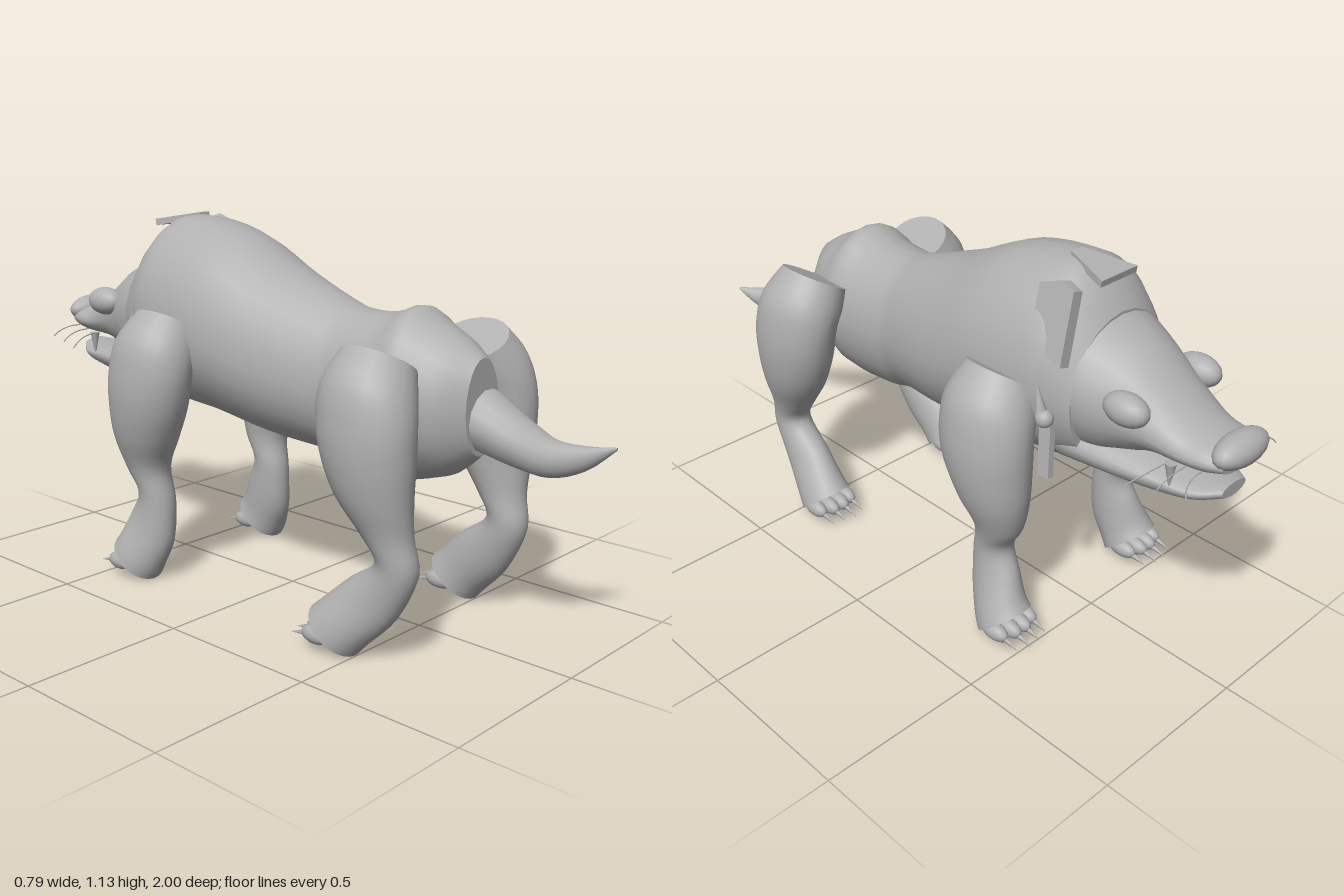
import * as THREE from 'three';

const hide = new THREE.MeshStandardMaterial({ color: 0xb0b0b0, side: THREE.DoubleSide });
hide.name = 'grey hide';

function part(parent, name, geo, pos = [0, 0, 0], scale = [1, 1, 1], rot = [0, 0, 0]) {
  const m = new THREE.Mesh(geo, hide);
  m.name = name;
  m.position.set(...pos);
  m.scale.set(...scale);
  m.rotation.set(...rot);
  parent.add(m);
  return m;
}

// Skin a series of rings; each key is smoothly interpolated and mapped to a ring point
function loft(keys, map, sides = 24, sub = 4) {
  const pos = [], idx = [], rings = [];
  const cr = (a, b, c, d, t) => 0.5 * (2 * b + (c - a) * t
    + (2 * a - 5 * b + 4 * c - d) * t * t + (3 * b - a - 3 * c + d) * t * t * t);
  const at = (i) => keys[Math.min(keys.length - 1, Math.max(0, i))];
  for (let i = 0; i < keys.length - 1; i++) {
    for (let s = 0; s < sub; s++) {
      rings.push(at(i).map((v, c) => cr(at(i - 1)[c], v, at(i + 1)[c], at(i + 2)[c], s / sub)));
    }
  }
  rings.push(at(keys.length - 1));
  const addRing = (k) => {
    const start = pos.length / 3;
    for (let j = 0; j < sides; j++) pos.push(...map(k, (j / sides) * Math.PI * 2));
    return start;
  };
  rings.forEach(addRing);
  for (let i = 0; i < rings.length - 1; i++) {
    for (let j = 0; j < sides; j++) {
      const a = i * sides + j, b = i * sides + (j + 1) % sides;
      idx.push(a, b, a + sides, b, b + sides, a + sides);
    }
  }
  // flat end caps with their own vertices
  [rings[0], rings[rings.length - 1]].forEach((k, end) => {
    const s = addRing(k), c = pos.length / 3, mid = [0, 0, 0];
    for (let j = 0; j < sides; j++) for (let n = 0; n < 3; n++) mid[n] += pos[(s + j) * 3 + n] / sides;
    pos.push(...mid);
    for (let j = 0; j < sides; j++) {
      const a = s + j, b = s + (j + 1) % sides;
      idx.push(...(end ? [a, b, c] : [b, a, c]));
    }
  });
  // turn the faces outward if the enclosed volume is negative
  let vol = 0;
  const v = (i) => new THREE.Vector3().fromArray(pos, i * 3);
  for (let i = 0; i < idx.length; i += 3) vol += v(idx[i]).dot(v(idx[i + 1]).cross(v(idx[i + 2])));
  if (vol < 0) idx.reverse();
  const g = new THREE.BufferGeometry();
  g.setAttribute('position', new THREE.Float32BufferAttribute(pos, 3));
  g.setIndex(idx);
  g.computeVertexNormals();
  return g;
}

// Trunk rings: [z, half width, top, middle, bottom]
const trunk = ([z, w, top, mid, bot], a) => {
  const s = Math.sin(a);
  return [w * Math.cos(a), mid + s * (s > 0 ? top - mid : mid - bot), z];
};
// Leg rings: [y, x, radius x, z, radius z, slope x, slope z]
const limb = ([y, x, rx, z, rz, sx, sz], a) => {
  const dx = rx * Math.cos(a), dz = rz * Math.sin(a);
  return [x + dx, y + sx * dx + sz * dz, z + dz];
};
// Tail rings: [x, y, z, radius]
const whip = ([x, y, z, r], a) => [x + r * Math.cos(a), y + r * Math.sin(a), z];

const hindLeg = [
  [0.83, 0.21, 0.085, 0.505, 0.11, 0.58, 0], [0.76, 0.258, 0.112, 0.512, 0.138, 0.3, 0],
  [0.68, 0.28, 0.112, 0.522, 0.147, 0, 0], [0.58, 0.283, 0.106, 0.533, 0.138, 0, 0],
  [0.48, 0.278, 0.09, 0.552, 0.113, 0, 0], [0.38, 0.265, 0.065, 0.588, 0.075, 0, 0],
  [0.29, 0.257, 0.055, 0.615, 0.062, 0, -0.25], [0.19, 0.262, 0.06, 0.54, 0.075, 0, -0.6],
  [0.11, 0.277, 0.073, 0.46, 0.072, 0, -0.75], [0.075, 0.28, 0.081, 0.425, 0.072, 0, -0.8],
];
const foreZ = [-0.32, -0.325, -0.33, -0.34, -0.358, -0.368, -0.34, -0.355, -0.388, -0.41];
const foreLeg = hindLeg.map((k, i) => k.map((n, c) => (c === 3 ? foreZ[i] : n)));

function buildLeg(name, keys, side) {
  const leg = new THREE.Group();
  leg.name = name;
  part(leg, 'limb', loft(keys.map((k) => k.map((n, c) => (c === 1 || c === 5 ? n * side : n))), limb));
  const footZ = keys[keys.length - 1][3];
  const ball = new THREE.SphereGeometry(1, 14, 10);
  const spike = new THREE.ConeGeometry(0.011, 0.07, 8);
  for (let i = 0; i < 4; i++) {
    const x = side * (0.222 + i * 0.039), reach = i === 0 || i === 3 ? 0.015 : 0;
    part(leg, 'toe', ball, [x, 0.07, footZ - 0.035 + reach], [0.024, 0.027, 0.05]);
    part(leg, 'claw', spike, [x, 0.06, footZ - 0.095 + reach], [1, 1, 1], [-Math.PI / 2 - 0.25, 0, 0]);
  }
  part(leg, 'pad', ball, [side * 0.28, 0.06, footZ], [0.05, 0.025, 0.035], [0.65, 0, 0]);
  return leg;
}

function plate(points, depth) {
  const s = new THREE.Shape(points.map((p) => new THREE.Vector2(...p)));
  return new THREE.ExtrudeGeometry(s, { depth, bevelEnabled: false });
}

export function createModel() {
  const g = new THREE.Group();
  g.name = 'beast';

  part(g, 'body', loft([
    [0.69, 0.075, 0.83, 0.69, 0.56], [0.62, 0.14, 0.875, 0.69, 0.5], [0.54, 0.17, 0.915, 0.7, 0.47],
    [0.48, 0.185, 0.948, 0.7, 0.455], [0.4, 0.18, 0.922, 0.69, 0.45], [0.28, 0.172, 0.918, 0.69, 0.46],
    [0.2, 0.18, 0.94, 0.7, 0.485], [0, 0.225, 1.015, 0.74, 0.5], [-0.2, 0.25, 1.11, 0.8, 0.53],
    [-0.4, 0.245, 1.142, 0.83, 0.545], [-0.48, 0.225, 1.11, 0.83, 0.555], [-0.55, 0.195, 1.02, 0.8, 0.58],
  ], trunk));

  // Head with open mouth
  const head = new THREE.Group();
  head.name = 'head';
  g.add(head);
  part(head, 'skull', loft([
    [-0.45, 0.2, 1.07, 0.85, 0.6], [-0.57, 0.19, 1.0, 0.82, 0.62], [-0.66, 0.16, 0.955, 0.8, 0.66],
    [-0.75, 0.135, 0.885, 0.78, 0.7], [-0.84, 0.118, 0.822, 0.76, 0.71], [-0.91, 0.107, 0.805, 0.76, 0.715],
    [-0.96, 0.085, 0.79, 0.76, 0.73],
  ], trunk));
  part(head, 'lower jaw', loft([
    [-0.48, 0.17, 0.74, 0.66, 0.565], [-0.65, 0.145, 0.71, 0.65, 0.583], [-0.78, 0.12, 0.685, 0.65, 0.592],
    [-0.88, 0.095, 0.675, 0.65, 0.615], [-0.945, 0.05, 0.68, 0.663, 0.64],
  ], trunk));
  const ball = new THREE.SphereGeometry(1, 20, 14);
  part(head, 'nose', ball, [0, 0.785, -0.95], [0.1, 0.046, 0.05]);

  // Upright ear on one side, loose ear flap lying on the crown
  part(g, 'ear', plate([[0.4, 1.1], [0.47, 1.125], [0.515, 1.11], [0.53, 0.91], [0.49, 0.92], [0.41, 0.97]], 0.035),
    [0.15, 0, 0], [1, 1, 1], [0, Math.PI / 2, 0]).geometry.translate(0, -1.0, 0);
  const ear = g.getObjectByName('ear');
  ear.position.set(0.155, 1.0, 0);
  ear.rotation.set(0, Math.PI / 2, 0);
  ear.geometry.applyMatrix4(new THREE.Matrix4().makeRotationX(-0.3));
  part(g, 'ear flap', plate([[-0.07, 0.53], [0.07, 0.53], [0.03, 0.385], [-0.01, 0.385]], 0.02),
    [0, 1.14, 0], [1, 1, 1], [-Math.PI / 2, 0, 0]).geometry.translate(0, -0.46, 0);
  const flap = g.getObjectByName('ear flap');
  flap.position.set(0, 1.115, -0.46);
  flap.rotation.x = -Math.PI / 2 - 0.18;

  for (const side of [1, -1]) {
    part(head, 'eye', ball, [side * 0.148, 0.85, -0.7], [0.045, 0.045, 0.07]);
    part(head, 'fang', new THREE.ConeGeometry(0.016, 0.08, 10), [side * 0.105, 0.685, -0.82], [1, 1, 1], [Math.PI, 0, 0]);
    for (let i = 0; i < 3; i++) {
      const z = -0.91 + i * 0.05, y = 0.74 - i * 0.008;
      const curve = new THREE.QuadraticBezierCurve3(
        new THREE.Vector3(side * 0.1, y, z), new THREE.Vector3(side * 0.17, y + 0.005, z),
        new THREE.Vector3(side * (0.19 + i * 0.02), y - 0.03, z - 0.025 + i * 0.03));
      part(head, 'whisker', new THREE.TubeGeometry(curve, 8, 0.002, 5));
    }
    // Cheek tusk, its knob and the hanging strip below
    part(g, 'cheek tusk', new THREE.ConeGeometry(0.02, 0.1, 10), [side * 0.228, 0.815, -0.475], [1, 1, 1], [0.2, 0, 0]);
    part(g, 'cheek knob', ball, [side * 0.228, 0.765, -0.495], [0.025, 0.025, 0.025]);
    part(g, 'cheek strip', new THREE.BoxGeometry(0.02, 0.18, 0.04), [side * 0.212, 0.675, -0.49],
      [1, 1, 1], [0.12, 0, side * 0.15]);
    const label = side > 0 ? 'left' : 'right';
    g.add(buildLeg(label + ' hind leg', hindLeg, side), buildLeg(label + ' fore leg', foreLeg, side));
  }

  part(g, 'tail', loft([
    [0.03, 0.665, 0.64, 0.09], [0.03, 0.65, 0.7, 0.088], [0.04, 0.61, 0.79, 0.07],
    [0.07, 0.575, 0.87, 0.052], [0.12, 0.577, 0.94, 0.034], [0.17, 0.605, 1.0, 0.004],
  ], whip, 14));

  return g;
}
